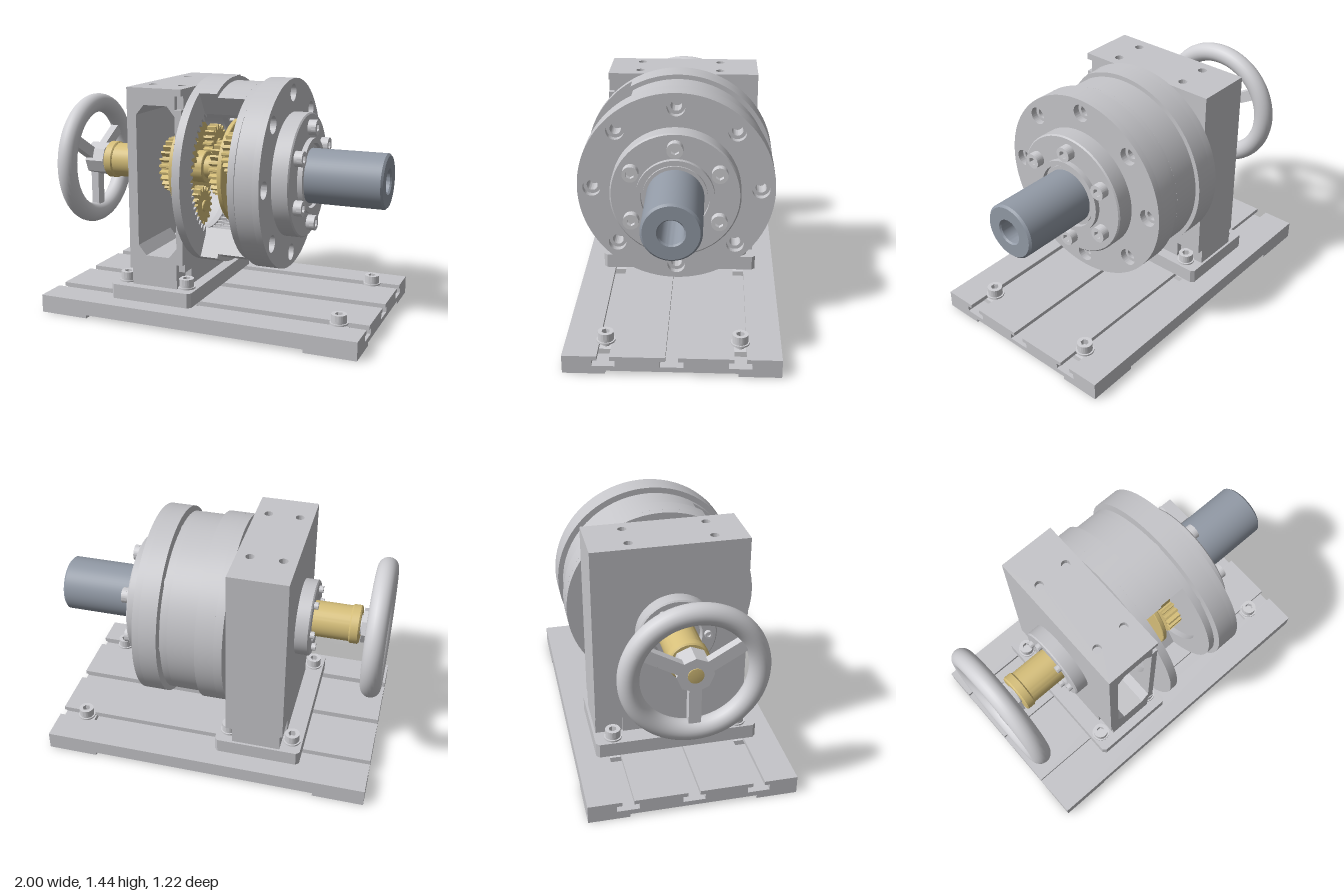
import * as THREE from 'three';
import { toCreasedNormals } from 'three/addons/utils/BufferGeometryUtils.js';

const AXIS = 0.87; // height of the shaft line
const paint = (name, color) => {
  const m = new THREE.MeshStandardMaterial({ color });
  m.name = name;
  return m;
};

export function createModel() {
  const grey = paint('machined grey', 0xc5c5c9);
  const pale = paint('pale grey', 0xd0d0d4);
  const brass = paint('brass', 0xd6bf7a);
  const steel = paint('blue steel', 0x929aa6);

  const root = new THREE.Group();
  const axle = new THREE.Group();
  axle.name = 'gearTrain';
  axle.position.y = AXIS;
  root.add(axle);

  const add = (parent, name, geo, mat) => {
    const mesh = new THREE.Mesh(geo, mat);
    mesh.name = name;
    parent.add(mesh);
    return mesh;
  };
  const box = (x0, x1, y0, y1, z0, z1) =>
    new THREE.BoxGeometry(x1 - x0, y1 - y0, z1 - z0).translate((x0 + x1) / 2, (y0 + y1) / 2, (z0 + z1) / 2);
  // outline given as [z, y] pairs
  const outline = pts => new THREE.Shape(pts.map(([z, y]) => new THREE.Vector2(-z, y)));
  const extrude = (shape, depth) =>
    new THREE.ExtrudeGeometry(shape, { depth, bevelEnabled: false, curveSegments: 48 });
  const alongX = (shape, x0, x1) =>
    toCreasedNormals(extrude(shape, x1 - x0).rotateY(Math.PI / 2).translate(x0, 0, 0), 0.5);
  const alongY = (shape, y0, y1) =>
    toCreasedNormals(extrude(shape, y1 - y0).rotateX(-Math.PI / 2).translate(0, y0, 0), 0.5);
  // solid of revolution about x, profile given as [radius, x]
  const turned = (pts, seg = 64) => toCreasedNormals(
    new THREE.LatheGeometry(pts.map(p => new THREE.Vector2(...p)), seg).rotateZ(-Math.PI / 2), 0.6);
  const disc = (r, x0, x1, c = 0.008) =>
    turned([[0, x0], [r - c, x0], [r, x0 + c], [r, x1 - c], [r - c, x1], [0, x1]]);
  const tube = (r, inner, x0, x1) =>
    turned([[inner, x1], [inner, x0], [r, x0], [r, x1], [inner, x1]]);
  const circle = (r, x = 0, y = 0) => new THREE.Shape().absarc(x, y, r, 0, Math.PI * 2, false);
  const polygon = (r, n) => new THREE.Shape(Array.from({ length: n }, (_, i) =>
    new THREE.Vector2(r * Math.cos(i * 2 * Math.PI / n), r * Math.sin(i * 2 * Math.PI / n))));

  // points of a toothed arc
  const teeth = (n, rootR, tipR, a0 = 0, a1 = Math.PI * 2) => {
    const pts = [];
    for (let i = 0; i < n; i++)
      for (const [f, r] of [[0.05, rootR], [0.35, rootR], [0.5, tipR], [0.8, tipR]]) {
        const a = a0 + (a1 - a0) * (i + f) / n;
        pts.push(new THREE.Vector2(r * Math.cos(a), r * Math.sin(a)));
      }
    return pts;
  };
  const gear = (n, r, x0, x1, depth = 0.035) =>
    alongX(new THREE.Shape(teeth(n, r - depth, r)), x0, x1);

  // socket head screw, standing on y = 0
  const screw = (parent, name, r, h, washer) => {
    const g = new THREE.Group();
    g.name = name;
    const head = circle(r);
    head.holes.push(polygon(r * 0.55, 6));
    add(g, 'screwHead', alongY(head, h * 0.4, h), pale);
    add(g, 'screwBase', new THREE.CylinderGeometry(r, r, h * 0.4, 24).translate(0, h * 0.2, 0), pale);
    if (washer) {
      add(g, 'washer', new THREE.CylinderGeometry(r * 1.2, r * 1.2, 0.01, 24).translate(0, 0.005, 0), pale);
      add(g, 'shank', new THREE.CylinderGeometry(0.025, 0.025, 0.1, 16).translate(0, -0.045, 0), pale);
    }
    parent.add(g);
    return g;
  };

  // Base plate with three T-slots and four corner pads
  const profile = [[0.61, 0.02], [0.61, 0.11]];
  for (const c of [0.38, 0, -0.38])
    profile.push([c + 0.035, 0.11], [c + 0.035, 0.085], [c + 0.065, 0.085], [c + 0.065, 0.05],
      [c - 0.065, 0.05], [c - 0.065, 0.085], [c - 0.035, 0.085], [c - 0.035, 0.11]);
  profile.push([-0.61, 0.11], [-0.61, 0.02]);
  add(root, 'basePlate', alongX(outline(profile), -1, 1), grey);
  for (const sx of [-1, 1]) for (const sz of [-1, 1])
    add(root, 'basePad', box(-0.155, 0.155, 0, 0.02, -0.12, 0.12).translate(sx * 0.845, 0, sz * 0.49), grey);

  // Foot plate with clipped corners
  const foot = [[-0.58, -0.47], [-0.56, -0.49], [-0.07, -0.49], [-0.05, -0.47],
    [-0.05, 0.47], [-0.07, 0.49], [-0.56, 0.49], [-0.58, 0.47]];
  add(root, 'footPlate', alongY(new THREE.Shape(foot.map(p => new THREE.Vector2(...p))), 0.11, 0.2), grey);

  // Clamping screws with their slot nuts
  for (const z of [-0.38, 0.38])
    for (const [x, y] of [[-0.515, 0.2], [-0.12, 0.2], [0.83, 0.11]]) {
      screw(root, 'clampScrew', 0.045, 0.06, true).position.set(x, y, z);
      add(root, 'slotNut', box(x - 0.05, x + 0.05, 0.052, 0.084, z - 0.055, z + 0.055), pale);
    }

  // Gearbox housing: end walls with screw pockets, a C-shaped middle and a drilled top
  const Z0 = -0.475, Z1 = 0.435, TOP = 1.36;
  const pocketed = [[-0.31, 0.2], [0.31, 0.2], [0.31, 0.3], [Z1, 0.3]];
  const backPocket = [[Z0, 0.3], [-0.31, 0.3]];
  add(root, 'housingOuterSkin',
    alongX(outline([...pocketed, [Z1, TOP], [Z0, TOP], ...backPocket]), -0.47, -0.455), grey);
  add(root, 'housingLeftWall', box(-0.455, -0.41, 0.2, TOP, Z0, Z1), grey);
  const endWall = outline([...pocketed.slice(0, 3), [0.4, 0.3], [0.4, 0.35], [Z1, 0.35],
    [Z1, 1.28], [0.4, 1.28], [0.4, TOP], [Z0, TOP], ...backPocket]);
  endWall.holes.push(circle(0.38, 0, AXIS));
  add(root, 'housingRightWall', alongX(endWall, -0.16, -0.12), grey);
  const cavity = [];
  for (let i = 0; i <= 32; i++) {
    const a = Math.PI * i / 32;
    cavity.push([-0.45 * Math.sin(a), AXIS - 0.025 + 0.455 * Math.cos(a)]);
  }
  add(root, 'housingMiddle', alongX(outline([[Z1, 0.2], [Z0, 0.2], [Z0, TOP], [Z1, TOP],
    [Z1, 1.3], ...cavity, [Z1, 0.39]]), -0.41, -0.16), grey);
  for (const [x, sx] of [[-0.41, 1], [-0.16, -1]]) for (const [y, sy] of [[0.39, 1], [1.3, -1]]) {
    const corner = new THREE.Shape([[x, y], [x + sx * 0.05, y], [x, y + sy * 0.06]]
      .map(p => new THREE.Vector2(...p)));
    add(root, 'windowCorner', extrude(corner, 0.43).translate(0, 0, 0.005), grey);
  }
  const lid = new THREE.Shape([[-0.47, Z0], [-0.12, Z0], [-0.12, Z1], [-0.47, Z1]]
    .map(([x, z]) => new THREE.Vector2(x, -z)));
  for (const x of [-0.39, -0.2]) for (const z of [-0.245, 0.245]) lid.holes.push(circle(0.026, x, -z));
  add(root, 'housingTop', alongY(lid, TOP, 1.4), grey);

  // Input bearing cover
  add(axle, 'bearingCover', turned([[0, -0.53], [0.135, -0.53], [0.145, -0.555], [0.222, -0.555],
    [0.23, -0.547], [0.23, -0.47]]), grey);
  for (let i = 0; i < 6; i++) {
    const a = i * Math.PI / 3, s = screw(axle, 'coverScrew', 0.022, 0.025, false);
    s.rotation.z = Math.PI / 2;
    s.position.set(-0.555, 0.175 * Math.sin(a), 0.175 * Math.cos(a));
  }

  // Input shaft with its sleeve and collar
  add(axle, 'inputShaft', turned([[0, -0.975], [0.045, -0.97], [0.045, -0.83], [0.07, -0.83], [0.07, 0.45], [0, 0.45]], 40), brass);
  add(axle, 'inputSleeve', disc(0.108, -0.8, -0.5), brass);
  add(axle, 'inputCollar', disc(0.117, -0.83, -0.77), brass);

  // Handwheel
  add(axle, 'wheelRim', new THREE.TorusGeometry(0.36, 0.06, 24, 72).rotateY(Math.PI / 2).translate(-0.94, 0, 0), pale);
  const hub = polygon(0.105, 8);
  hub.holes.push(circle(0.045));
  add(axle, 'wheelHub', alongX(hub, -0.965, -0.84), pale);
  add(axle, 'wheelSpacer', disc(0.06, -0.84, -0.82, 0.002), pale);
  for (let i = 0; i < 3; i++)
    add(axle, 'wheelSpoke', box(-0.965, -0.915, -0.33, -0.08, -0.035, 0.035).rotateX(i * Math.PI * 2 / 3), pale);

  // Ring gear casing, cut away over the front third
  const CUT = Math.PI * 2 / 3;
  const toothedRing = r => {
    const s = circle(r);
    s.holes.push(new THREE.Path(teeth(60, 0.42, 0.385)));
    return s;
  };
  const openRing = r => {
    const s = new THREE.Shape().absarc(0, 0, r, -CUT, CUT, false);
    teeth(40, 0.42, 0.385, CUT, -CUT).forEach(p => s.lineTo(p.x, p.y));
    return s;
  };
  add(axle, 'casingRearFlange', alongX(toothedRing(0.572), -0.12, -0.07), grey);
  add(axle, 'casingFlangeSector', alongX(openRing(0.572), -0.07, 0.04), grey);
  add(axle, 'casingSector', alongX(openRing(0.545), 0.04, 0.21), grey);
  add(axle, 'casingFrontRing', tube(0.545, 0.42, 0.21, 0.25), grey);
  add(axle, 'casingNeck', tube(0.51, 0.15, 0.245, 0.27), grey);

  // Output flange with eight counterbored holes
  const drilled = (r, hole) => {
    const s = circle(r);
    for (let i = 0; i < 8; i++)
      s.holes.push(circle(hole, 0.49 * Math.cos(i * Math.PI / 4), 0.49 * Math.sin(i * Math.PI / 4)));
    s.holes.push(circle(0.15));
    return s;
  };
  add(axle, 'outputFlange', alongX(drilled(0.574, 0.032), 0.265, 0.37), grey);
  add(axle, 'outputFlangeFace', alongX(drilled(0.574, 0.052), 0.37, 0.41), grey);
  add(axle, 'outputCover', turned([[0.375, 0.41], [0.375, 0.507], [0.367, 0.515], [0.15, 0.515]]), grey);
  add(axle, 'sealRing', tube(0.225, 0.195, 0.51, 0.545), grey);
  add(axle, 'shaftSeal', tube(0.185, 0.15, 0.51, 0.53), grey);
  for (let i = 0; i < 6; i++) {
    const a = Math.PI / 6 + i * Math.PI / 3, s = screw(axle, 'outputScrew', 0.046, 0.05, false);
    s.rotation.z = -Math.PI / 2;
    s.position.set(0.515, 0.29 * Math.sin(a), 0.29 * Math.cos(a));
  }

  // Hollow output shaft
  add(axle, 'outputShaft', turned([[0.165, 0.25], [0.165, 0.988], [0.153, 1], [0.078, 1],
    [0.07, 0.99], [0.07, 0.3]]), steel);

  // Two planetary stages: sun gear, carrier disc and three planets each
  const stage = (sun, plate, planets, plateR) => {
    add(axle, 'sunGear', gear(24, 0.172, ...sun), brass);
    add(axle, 'carrierDisc', disc(plateR, ...plate, 0.004), brass);
    add(axle, 'carrierHub', disc(0.1, plate[1], planets[1] + 0.02, 0.004), brass);
    for (let i = 0; i < 3; i++) {
      const a = (34 + 120 * i) * Math.PI / 180, y = 0.25 * Math.sin(a), z = 0.25 * Math.cos(a);
      add(axle, 'planetGear', gear(18, 0.125, ...planets, 0.028), brass).position.set(0, y, z);
      add(axle, 'planetPin', disc(0.035, plate[0], planets[1] + 0.012, 0.004), brass).position.set(0, y, z);
    }
  };
  stage([-0.4, -0.28], [-0.275, -0.23], [-0.225, -0.165], 0.3);
  stage([-0.07, 0.05], [0.05, 0.08], [0.085, 0.175], 0.32);

  return root;
}
